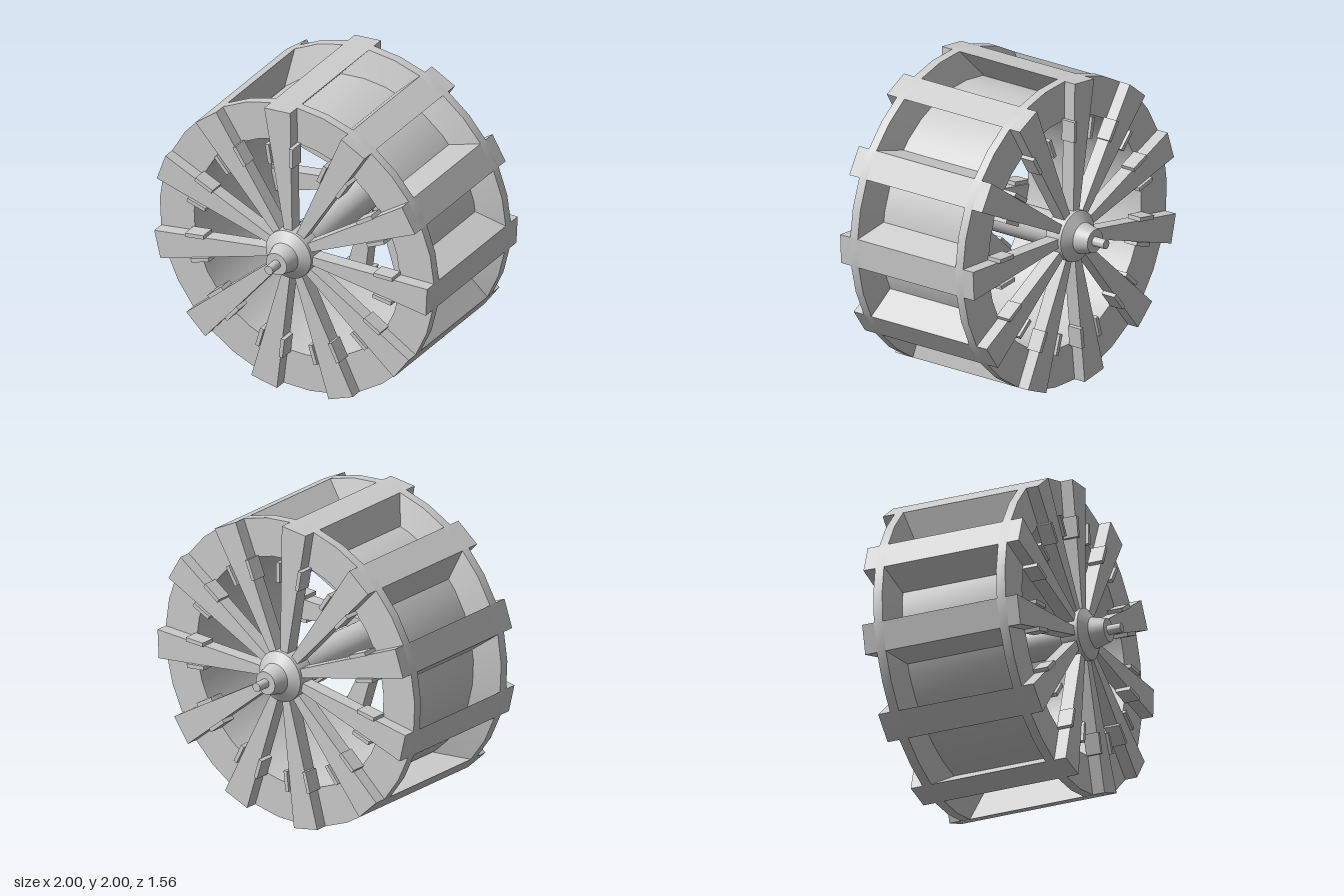
import * as THREE from 'three';
import { toCreasedNormals } from 'three/addons/utils/BufferGeometryUtils.js';

const COUNT = 11;                       // spokes and paddles
const STEP = (Math.PI * 2) / COUNT;
const HALF = STEP / 6;                  // half angle of a paddle's outer edge
const deg = THREE.MathUtils.degToRad;
const material = new THREE.MeshStandardMaterial({ color: 0xcccccc });

function add(parent, name, geometry) {
  const mesh = new THREE.Mesh(geometry, material);
  mesh.name = name;
  parent.add(mesh);
  return mesh;
}

// Solid of revolution about z from [radius, z] points
function turned(points, sides, start = 0) {
  const profile = points.map(([r, z]) => new THREE.Vector2(r, z));
  const geometry = new THREE.LatheGeometry(profile, sides, start).rotateX(Math.PI / 2);
  return toCreasedNormals(geometry, deg(25));
}

// Flat outline in the wheel plane, given thickness from z0 to z1
function slab(points, z0, z1) {
  const shape = new THREE.Shape(points.map(([x, y]) => new THREE.Vector2(x, y)));
  return new THREE.ExtrudeGeometry(shape, { depth: z1 - z0, bevelEnabled: false }).translate(0, 0, z0);
}

const polar = (r, a) => [r * Math.cos(a), r * Math.sin(a)];
const spokeHalfWidth = (r) => 0.0165 + 0.0785 * r;

export function createModel() {
  const model = new THREE.Group();
  model.name = 'waterWheel';
  const wheel = new THREE.Group();
  wheel.name = 'wheel';
  wheel.position.y = 0.9965;
  wheel.rotation.z = deg(95.4);
  model.add(wheel);

  // Two side rings with sloping inner walls, joined by the bucket floor
  add(wheel, 'rim', turned([
    [0.75, -0.45], [1, -0.45], [1, -0.39], [0.823, -0.335],
    [0.823, 0.335], [1, 0.39], [1, 0.45], [0.75, 0.45], [0.75, -0.45],
  ], COUNT * 3, Math.PI / 2 + HALF));

  // Axle between the hubs
  add(wheel, 'axle', turned([[0.11, -0.52], [0.11, 0.52]], 32));

  const tip = polar(1, HALF);
  const spokeShape = [
    [0.06, -spokeHalfWidth(0.06)], [tip[0], -tip[1]], tip, [0.06, spokeHalfWidth(0.06)],
  ];
  // Paddle leans sideways and thins towards the floor
  const paddleShape = [
    polar(1, -HALF), tip, polar(0.823, deg(11.1)), polar(0.79, deg(11.8)),
    polar(0.79, deg(8.2)), polar(0.823, deg(6.6)),
  ];
  const paddleGeometry = slab(paddleShape, -0.44, 0.44);
  const spokeGeometry = slab(spokeShape, 0.44, 0.53);
  const spokeBackGeometry = slab(spokeShape, -0.53, -0.44);
  const cleatGeometry = new THREE.BoxGeometry(0.135, 0.026, 0.1);
  const cleatRadius = 0.685;

  for (let i = 0; i < COUNT; i++) {
    const arm = new THREE.Group();
    arm.name = 'arm' + (i + 1);
    arm.rotation.z = i * STEP;
    wheel.add(arm);
    add(arm, 'paddle', paddleGeometry);
    add(arm, 'frontSpoke', spokeGeometry);
    add(arm, 'backSpoke', spokeBackGeometry);
    // Cleats along both edges of each spoke
    for (const z of [1, -1]) {
      for (const side of [1, -1]) {
        const cleat = add(arm, 'cleat', cleatGeometry);
        cleat.position.set(cleatRadius, side * (spokeHalfWidth(cleatRadius) + 0.012), z * 0.5);
        cleat.rotation.z = side * Math.atan(0.0785);
      }
    }
  }

  // Stepped conical hubs with a protruding pin
  const hubGeometry = turned([
    [0, 0.43], [0.165, 0.43], [0.165, 0.55], [0.1, 0.595],
    [0.075, 0.69], [0.03, 0.69], [0.03, 0.78], [0, 0.78],
  ], 32);
  add(wheel, 'frontHub', hubGeometry);
  add(wheel, 'backHub', hubGeometry).rotation.x = Math.PI;

  return model;
}
